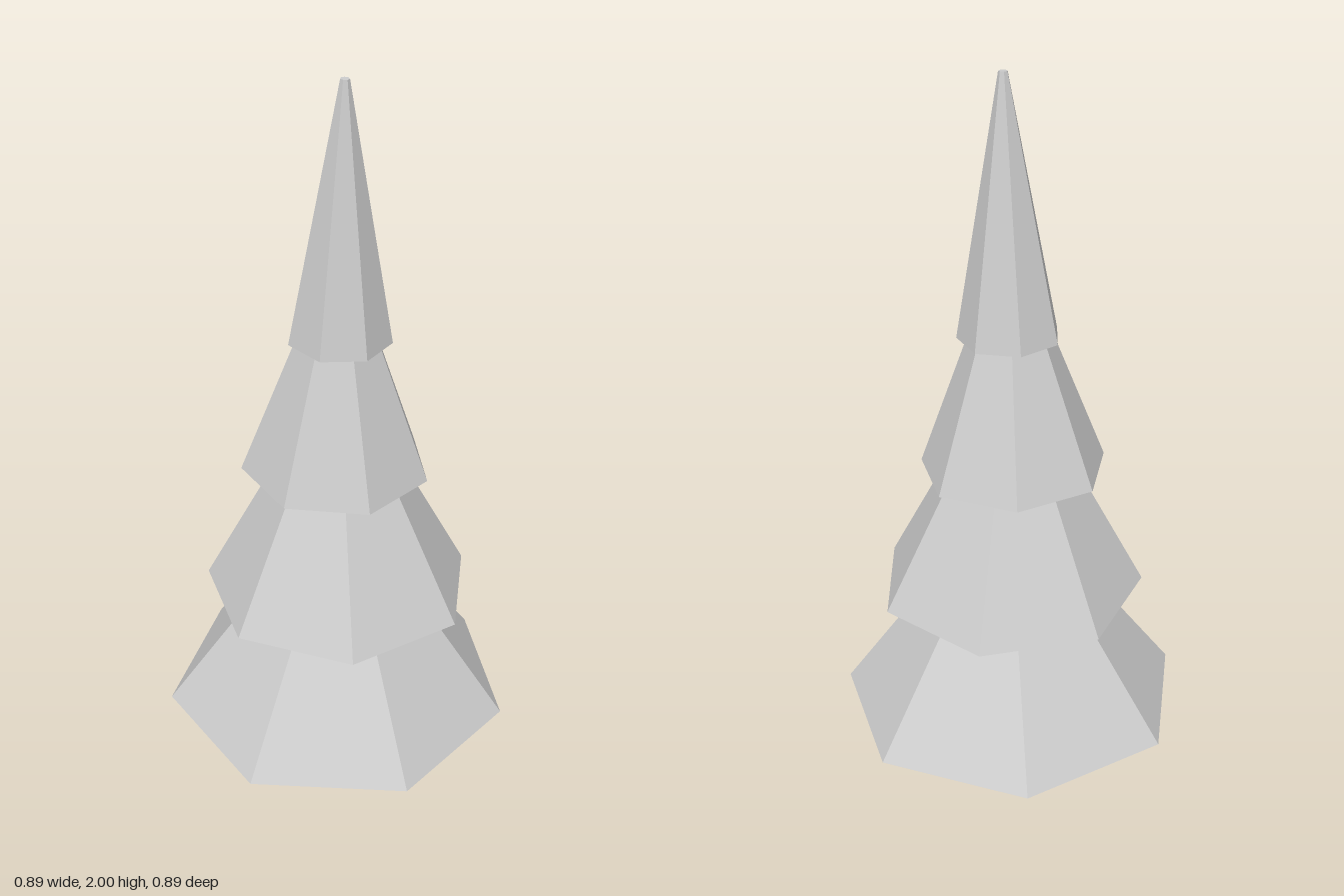
import * as THREE from 'three';

const rad = THREE.MathUtils.degToRad;

// Foliage tiers, bottom to top: base centre, base and top radius, height,
// direction of the first corner (degrees) and lean toward the front (radians)
const TIERS = [
  { x: -0.015, y: 0.313, z: -0.011, base: 0.459, top: 0.19, height: 0.37, corner: -5.2, lean: 0.028 },
  { x: -0.019, y: 0.664, z: 0.005, base: 0.35, top: 0.155, height: 0.365, corner: 11.8, lean: 0.002 },
  { x: -0.016, y: 1.017, z: -0.013, base: 0.239, top: 0.1, height: 0.365, corner: -2.5, lean: 0.038 },
  { x: -0.011, y: 1.37, z: -0.002, base: 0.128, top: 0.011, height: 0.63, corner: -12.6, lean: 0.038 },
];

export function createModel() {
  const model = new THREE.Group();
  model.name = 'lowPolyFirTree';

  const grey = new THREE.MeshStandardMaterial({ color: 0xcccccc, flatShading: true });
  grey.name = 'plain grey';

  // Tapered six-sided trunk
  const trunk = new THREE.Mesh(new THREE.CylinderGeometry(0.034, 0.043, 0.34, 6), grey);
  trunk.name = 'trunk';
  trunk.position.set(-0.022, 0.17, 0);
  model.add(trunk);

  // Seven-sided tiers, each leaning about the centre of its base
  TIERS.forEach((t, i) => {
    const geometry = new THREE.CylinderGeometry(
      t.top, t.base, t.height, 7, 1, false, rad(90 - t.corner));
    geometry.translate(0, t.height / 2, 0);
    const tier = new THREE.Mesh(geometry, grey);
    tier.name = `foliageTier${i + 1}`;
    tier.position.set(t.x, t.y, t.z);
    tier.rotation.x = t.lean;
    model.add(tier);
  });

  return model;
}
